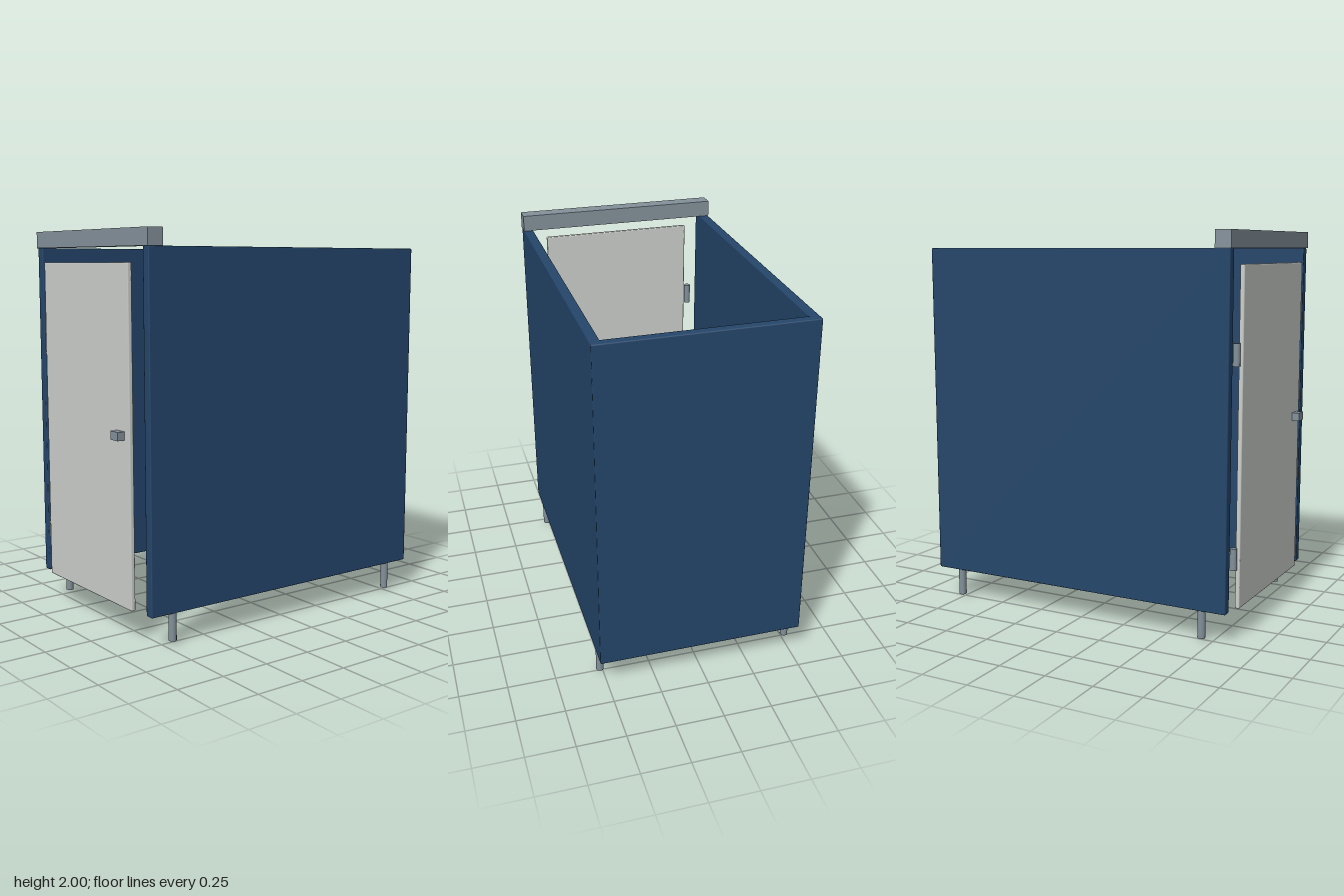
import * as THREE from 'three';
import { RoundedBoxGeometry } from 'three/addons/geometries/RoundedBoxGeometry.js';

export function createModel() {
  const group = new THREE.Group();
  const material = (name, color, flatShading = false) => {
    const m = new THREE.MeshStandardMaterial({ color, flatShading });
    m.name = name;
    return m;
  };
  const blue = material('bluePanel', 0x24466b);
  const grey = material('doorGrey', 0xcccfcc);
  const metal = material('metal', 0x83919a);
  const ceramic = material('ceramic', 0xe2e4e1, true);

  const add = (name, geometry, mat, x, y, z) => {
    const mesh = new THREE.Mesh(geometry, mat);
    mesh.name = name;
    mesh.position.set(x, y, z);
    group.add(mesh);
    return mesh;
  };
  // Box given by its limits on each axis, with optional rounded edges
  const block = (name, mat, [x0, x1], [y0, y1], [z0, z1], radius = 0, segments = 1) => {
    const size = [x1 - x0, y1 - y0, z1 - z0];
    const geometry = radius
      ? new RoundedBoxGeometry(...size, segments, radius)
      : new THREE.BoxGeometry(...size);
    return add(name, geometry, mat, (x0 + x1) / 2, (y0 + y1) / 2, (z0 + z1) / 2);
  };

  // Partition walls, open at the front, top and bottom
  const wallY = [0.157, 1.915];
  block('leftWall', blue, [0.49, 0.54], wallY, [-0.89, 0.83], 0.006);
  block('rightWall', blue, [-0.54, -0.49], wallY, [-0.89, 0.83], 0.006);
  block('backWall', blue, [-0.535, 0.535], wallY, [-0.89, -0.84], 0.006);

  // Header rail across the front
  block('headerRail', metal, [-0.542, 0.542], [1.915, 2], [0.752, 0.835]);

  // Support legs
  for (const x of [-0.515, 0.515]) {
    for (const z of [0.695, -0.755]) {
      add('leg', new THREE.CylinderGeometry(0.02, 0.02, 0.15, 12), metal, x, 0.09, z);
    }
  }

  // Door with hinges and latch
  block('door', grey, [-0.425, 0.4], [0.16, 1.84], [0.832, 0.856], 0.006);
  for (const y of [0.415, 1.415]) {
    add('hinge', new THREE.CylinderGeometry(0.018, 0.018, 0.11, 12), metal, -0.443, y, 0.829);
  }
  block('latch', metal, [0.29, 0.355], [0.997, 1.04], [0.856, 0.895]);

  // Toilet pedestal and tank
  block('pedestal', ceramic, [-0.107, 0.107], [0, 0.4], [-0.602, -0.332], 0.04, 2);
  block('tank', ceramic, [-0.18, 0.18], [0.42, 0.8], [-0.793, -0.635], 0.03, 2);

  // Faceted bowl and oval seat
  const bowl = add('bowl', new THREE.SphereGeometry(1, 8, 4), ceramic, 0, 0.4, -0.36);
  bowl.scale.set(0.19, 0.14, 0.255);
  const seatGeometry = new THREE.TorusGeometry(0.162, 0.022, 8, 24);
  seatGeometry.rotateX(Math.PI / 2);
  seatGeometry.scale(1, 1, 1.34);
  add('seat', seatGeometry, ceramic, 0, 0.45, -0.328);

  // Paper roll beside the left wall
  const roll = new THREE.CylinderGeometry(0.062, 0.062, 0.1, 16);
  roll.rotateZ(Math.PI / 2);
  add('paperRoll', roll, ceramic, 0.39, 0.73, -0.172);

  return group;
}
